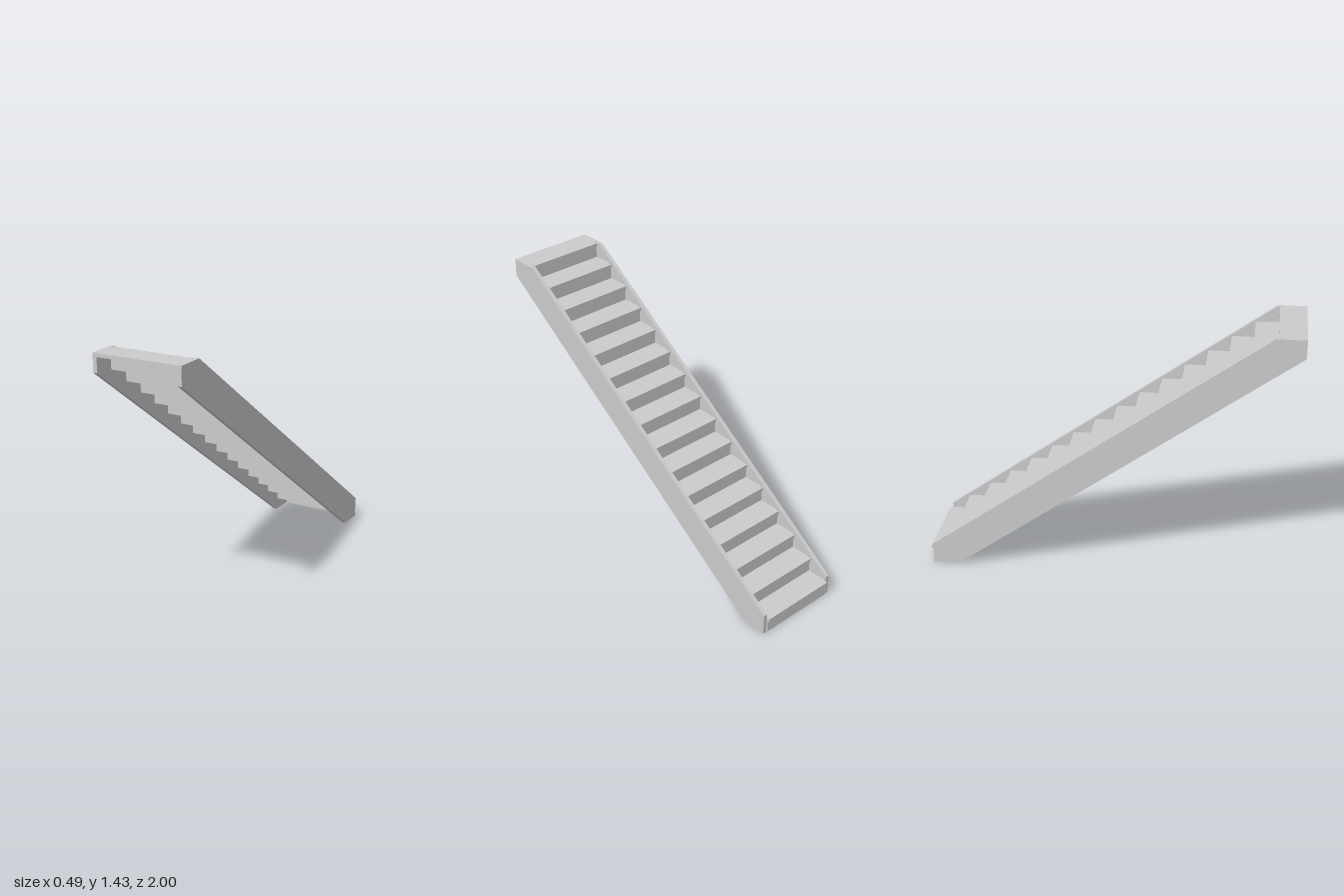
import * as THREE from 'three';

const STEPS = 16, RISE = 1.43 / STEPS, RUN = 0.1238;
const HALF = 0.247, INNER = 0.225, NOSE_HALF = 0.22;
const TREAD = 0.02, RISER = 0.014, NOSE = 0.012;

export function createModel() {
  const group = new THREE.Group();
  group.name = 'staircase';
  const material = new THREE.MeshStandardMaterial({ color: 0xcccccc, flatShading: true });

  // Box given by its half width and its y and z limits
  const slab = (name, half, y0, y1, z0, z1) => {
    const mesh = new THREE.Mesh(new THREE.BoxGeometry(half * 2, y1 - y0, z1 - z0), material);
    mesh.position.set(0, (y0 + y1) / 2, (z0 + z1) / 2);
    mesh.name = name;
    group.add(mesh);
  };

  // Side stringers: profile drawn in (z, y), extruded along x
  const profile = new THREE.Shape([
    [-0.845, 0], [1, 1.33], [1, 1.43], [0.845, 1.43], [-0.985, 0.115], [-0.985, 0],
  ].map(([z, y]) => new THREE.Vector2(-z, y)));
  const side = new THREE.ExtrudeGeometry(profile, { depth: HALF - INNER, bevelEnabled: false });
  side.rotateY(Math.PI / 2); // shape x becomes -z, depth becomes +x
  for (const [name, x] of [['leftStringer', INNER], ['rightStringer', -HALF]]) {
    const mesh = new THREE.Mesh(side, material);
    mesh.position.x = x;
    mesh.name = name;
    group.add(mesh);
  }

  // Steps climb towards +z; the last tread is the landing
  for (let i = 0; i < STEPS; i++) {
    const top = (i + 1) * RISE;
    const nose = -1 + i * RUN;
    const face = nose + NOSE;
    const last = i === STEPS - 1;
    const back = last ? 1 : face + RUN;
    const bottom = i === 0 ? 0 : i * RISE - TREAD;
    slab('riser', i === 0 ? NOSE_HALF : INNER, bottom, top - TREAD, face, face + RISER);
    slab(last ? 'landing' : 'tread', INNER, top - TREAD, top, face + 0.008, back);
    slab('nosing', NOSE_HALF, top - TREAD, top, nose, face + 0.008);
  }
  return group;
}
